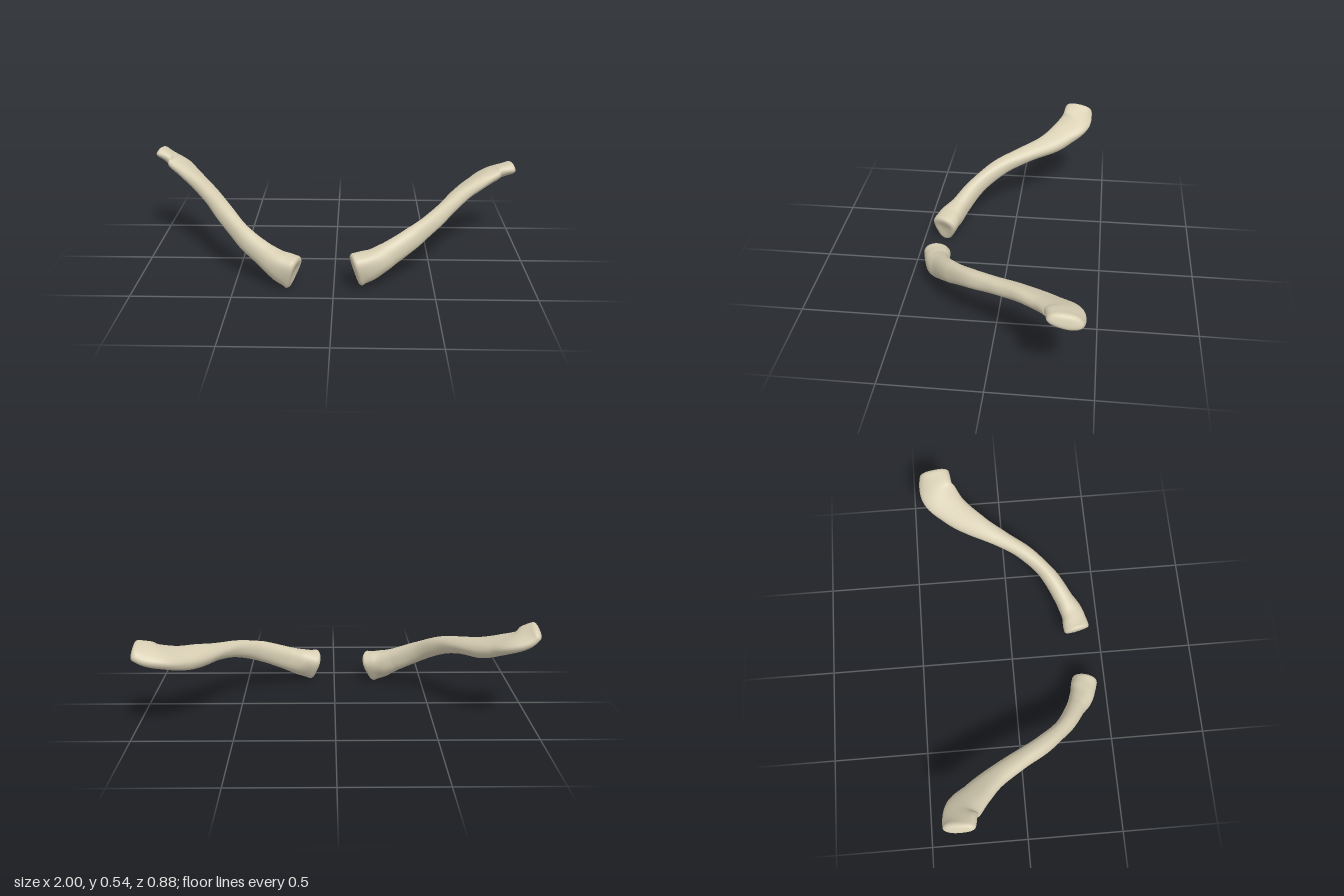
import * as THREE from 'three';

const RING = 40, STEPS = 90;

// Stations from the breastbone end outward: x, y, z, half width, half height, roll (front edge up)
const leftStations = [
  [0.118, 0.105, 0.367, 0.070, 0.086, 0.15],
  [0.195, 0.128, 0.350, 0.064, 0.074, 0.12],
  [0.275, 0.165, 0.310, 0.050, 0.064, 0.05],
  [0.405, 0.230, 0.230, 0.042, 0.057, 0.05],
  [0.520, 0.282, 0.113, 0.041, 0.047, 0.15],
  [0.600, 0.312, -0.010, 0.046, 0.041, 0.30],
  [0.680, 0.337, -0.140, 0.064, 0.040, 0.40],
  [0.780, 0.360, -0.270, 0.084, 0.040, 0.36],
  [0.875, 0.394, -0.345, 0.098, 0.039, 0.28],
  [0.970, 0.424, -0.355, 0.083, 0.037, 0.24],
];
const rightStations = [
  [-0.208, 0.092, 0.377, 0.068, 0.089, 0.15],
  [-0.275, 0.115, 0.354, 0.068, 0.076, 0.12],
  [-0.350, 0.155, 0.310, 0.051, 0.062, 0.05],
  [-0.455, 0.218, 0.240, 0.044, 0.056, 0.05],
  [-0.570, 0.298, 0.110, 0.046, 0.049, 0.15],
  [-0.655, 0.344, -0.025, 0.050, 0.042, 0.30],
  [-0.745, 0.378, -0.162, 0.062, 0.040, 0.42],
  [-0.820, 0.413, -0.245, 0.077, 0.038, 0.38],
  [-0.900, 0.457, -0.318, 0.090, 0.036, 0.30],
  [-0.977, 0.508, -0.332, 0.080, 0.033, 0.24],
];

// Rings that round over each end: [section scale, outward offset]; the inner face is dished
const innerCap = [[0.97, 0.007], [0.88, 0.014], [0.72, 0.016], [0.5, 0.012], [0.25, 0.009], [0.02, 0.008]];
const outerCap = [[0.96, 0.008], [0.86, 0.015], [0.7, 0.019], [0.5, 0.021], [0.25, 0.022], [0.02, 0.022]];

const bell = (x, centre, width) => Math.exp(-(((x - centre) / width) ** 2));

// Radius multiplier giving the natural unevenness, the underside tubercle and the end rims
function surfaceRadius(t, a) {
  const ends = bell(t, 0, 0.12) + bell(t, 1, 0.2);
  const lumps = Math.sin(3 * a + 9 * t) * 0.5 + Math.sin(5 * a - 21 * t) * 0.3 + Math.sin(2 * a + 47 * t) * 0.3;
  const angle = Math.atan2(Math.sin(a + 2.2), Math.cos(a + 2.2));
  return 1 + lumps * (0.02 + 0.03 * ends) + 0.2 * bell(t, 0.71, 0.09) * bell(angle, 0, 0.6);
}

function boneGeometry(stations, side) {
  const path = new THREE.CatmullRomCurve3(stations.map((s) => new THREE.Vector3(s[0], s[1], s[2])));
  const size = new THREE.CatmullRomCurve3(stations.map((s) => new THREE.Vector3(s[3], s[4], s[5])));
  const rings = [];
  for (const [k, d] of [...innerCap].reverse()) rings.push([0, k, -d]);
  for (let i = 0; i <= STEPS; i++) rings.push([i / STEPS, 1, 0]);
  for (const [k, d] of outerCap) rings.push([1, k, d]);

  const positions = [], index = [];
  for (const [t, scale, offset] of rings) {
    const tangent = path.getTangent(t);
    const across = new THREE.Vector3(-tangent.z, 0, tangent.x).multiplyScalar(side).normalize();
    const up = new THREE.Vector3().crossVectors(across, tangent).multiplyScalar(side);
    const { x: w, y: h, z: roll } = size.getPoint(t);
    const centre = path.getPoint(t).addScaledVector(tangent, offset);
    const taper = 0.28 * bell(t, 0, 0.16);
    for (let j = 0; j < RING; j++) {
      const a = (j / RING) * Math.PI * 2;
      const r = surfaceRadius(t, a) * scale;
      // Slightly squared oval, narrower below at the inner end
      const c = Math.sign(Math.cos(a)) * Math.abs(Math.cos(a)) ** 0.9;
      const s = Math.sign(Math.sin(a)) * Math.abs(Math.sin(a)) ** 0.9;
      const px = w * r * c * (1 + taper * (s - 0.3));
      const py = h * r * s;
      const p = centre.clone()
        .addScaledVector(across, px * Math.cos(roll) - py * Math.sin(roll))
        .addScaledVector(up, px * Math.sin(roll) + py * Math.cos(roll));
      positions.push(p.x, p.y, p.z);
    }
  }

  // The two sides are mirrored, so their corner order is too
  const triangle = (a, b, c) => (side > 0 ? index.push(a, b, c) : index.push(a, c, b));
  for (let i = 0; i < rings.length - 1; i++) {
    for (let j = 0; j < RING; j++) {
      const a = i * RING + j, b = i * RING + ((j + 1) % RING);
      triangle(a, a + RING, b);
      triangle(b, a + RING, b + RING);
    }
  }
  // Close the tiny centre hole of each end
  const last = (rings.length - 1) * RING;
  for (let j = 1; j < RING - 1; j++) {
    triangle(0, j, j + 1);
    triangle(last, last + j + 1, last + j);
  }

  const geometry = new THREE.BufferGeometry();
  geometry.setAttribute('position', new THREE.Float32BufferAttribute(positions, 3));
  geometry.setIndex(index);
  geometry.computeVertexNormals();
  return geometry;
}

export function createModel() {
  const bone = new THREE.MeshStandardMaterial({ color: 0xd8cfb4 });
  bone.name = 'bone';
  const group = new THREE.Group();
  group.name = 'collarbones';
  for (const [name, stations, side] of [['leftCollarbone', leftStations, 1], ['rightCollarbone', rightStations, -1]]) {
    const mesh = new THREE.Mesh(boneGeometry(stations, side), bone);
    mesh.name = name;
    group.add(mesh);
  }
  return group;
}
